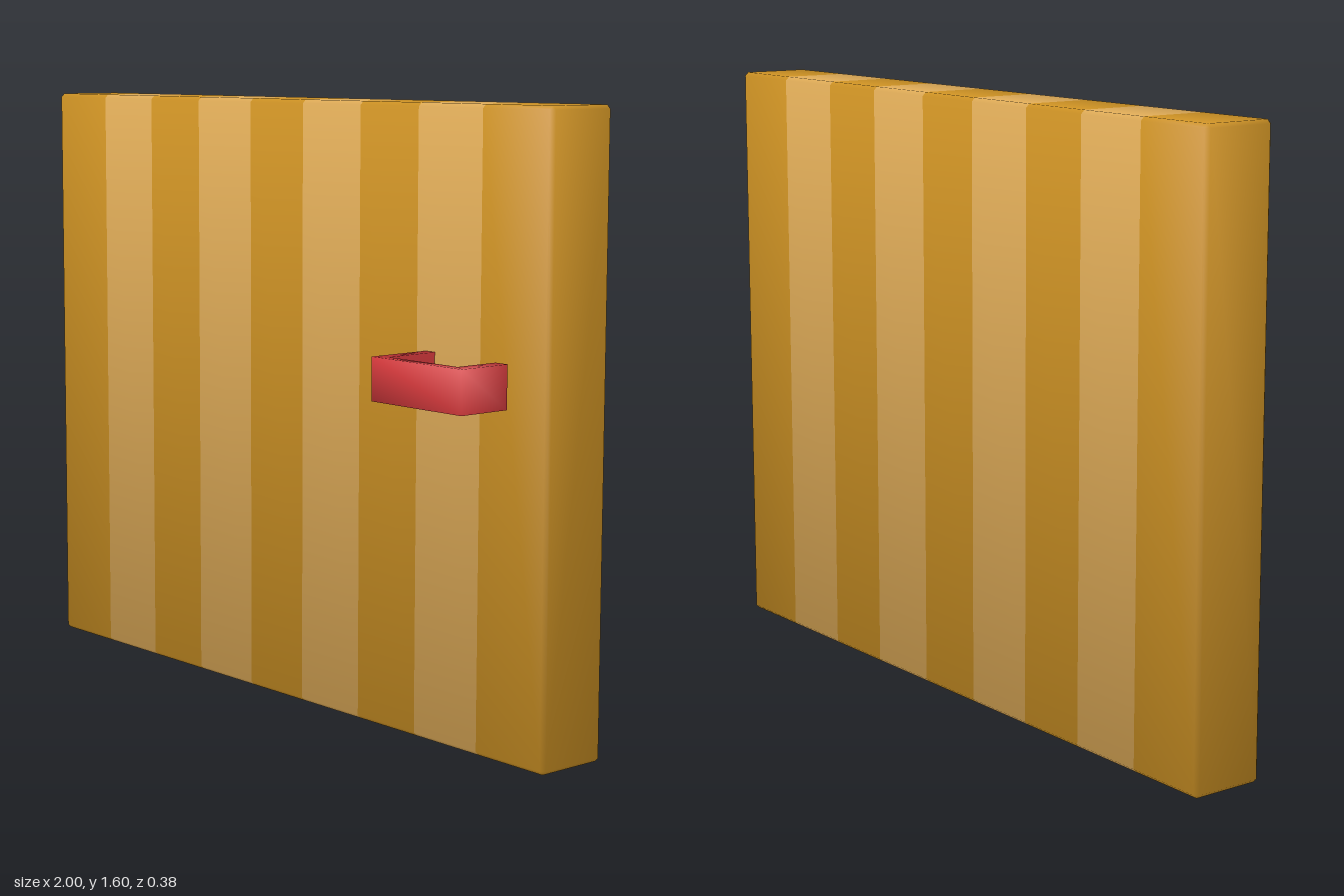
import * as THREE from 'three';
import { mergeVertices } from 'three/addons/utils/BufferGeometryUtils.js';

const mat = (name, color, side = THREE.FrontSide) => {
  const m = new THREE.MeshStandardMaterial({ color, side });
  m.name = name;
  return m;
};

// Panel: a softly bevelled slab swept along x, one material group per plank
function panelGeometry() {
  const bevel = 0.01, soft = 0.45;
  const height = 1.6, back = -0.19, front = 0.013;
  const midZ = (back + front) / 2, hy = height / 2, hz = (front - back) / 2;
  const seams = [-0.77, -0.55, -0.335, -0.11, 0.105, 0.33, 0.545, 0.77];
  const stations = [-1, -1 + bevel, ...seams, 1 - bevel, 1];

  // Corner points as [sign y, sign z, 1 when the point lies on a top or bottom face]
  const ring = [[1, -1, 1], [1, 1, 1], [1, 1, 0], [-1, 1, 0],
    [-1, 1, 1], [-1, -1, 1], [-1, -1, 0], [1, -1, 0]];
  const n = ring.length, last = stations.length - 1;
  const position = [], normal = [], index = [];

  stations.forEach((x, i) => {
    const cap = i === 0 || i === last;
    const edge = cap || i === 1 || i === last - 1;
    const tilt = new THREE.Vector3();
    for (const [sy, sz, onY] of ring) {
      const insetY = cap || !onY ? bevel : 0;
      const insetZ = cap || onY ? bevel : 0;
      position.push(x, hy + sy * (hy - insetY), midZ + sz * (hz - insetZ));
      tilt.set(
        edge ? Math.sign(x) * (cap ? 1 : soft) : 0,
        sy * (!cap && onY ? 1 : soft),
        sz * (!cap && !onY ? 1 : soft)
      ).normalize();
      normal.push(tilt.x, tilt.y, tilt.z);
    }
  });

  const geometry = new THREE.BufferGeometry();
  const addCap = (base, flip) => {
    for (let j = 1; j < n - 1; j++) {
      if (flip) index.push(base, base + j + 1, base + j);
      else index.push(base, base + j, base + j + 1);
    }
  };
  for (let i = 0; i < last; i++) {
    const start = index.length;
    if (i === 0) addCap(0, true);
    for (let j = 0; j < n; j++) {
      const k = (j + 1) % n;
      const a = i * n + j, b = i * n + k, c = b + n, d = a + n;
      index.push(a, b, c, a, c, d);
    }
    if (i === last - 1) addCap(last * n, false);
    // The bevelled ends share the colour of the outer planks
    const plank = Math.min(Math.max(i - 1, 0), seams.length);
    geometry.addGroup(start, index.length - start, plank % 2);
  }
  geometry.setAttribute('position', new THREE.Float32BufferAttribute(position, 3));
  geometry.setAttribute('normal', new THREE.Float32BufferAttribute(normal, 3));
  geometry.setIndex(index);
  return geometry;
}

// Handle: a U-shaped outline in plan, extruded upwards; its outer arm stops short
function handleGeometry() {
  const outline = [[0.575, 0], [0.575, 0.19], [0.89, 0.19], [0.89, 0.04],
    [0.85, 0.04], [0.85, 0.165], [0.61, 0.165], [0.61, 0]];
  const shape = new THREE.Shape(outline.map(([x, z]) => new THREE.Vector2(x, -z)));
  let geometry = new THREE.ExtrudeGeometry(shape, { depth: 0.11, bevelEnabled: false });
  geometry.rotateX(-Math.PI / 2).translate(0, 0.88, 0);
  geometry.deleteAttribute('normal');
  geometry.deleteAttribute('uv');
  geometry.clearGroups();
  geometry = mergeVertices(geometry, 1e-4);
  geometry.computeVertexNormals();
  return geometry;
}

export function createModel() {
  const darkWood = mat('darkWood', 0xcb9023);
  const lightWood = mat('lightWood', 0xdca956);
  const redHandle = mat('redHandle', 0xdc3c3f);

  const model = new THREE.Group();
  model.name = 'plankDoor';

  const panel = new THREE.Mesh(panelGeometry(), [darkWood, lightWood]);
  panel.name = 'panel';
  const handle = new THREE.Mesh(handleGeometry(), redHandle);
  handle.name = 'handle';

  model.add(panel, handle);
  return model;
}
